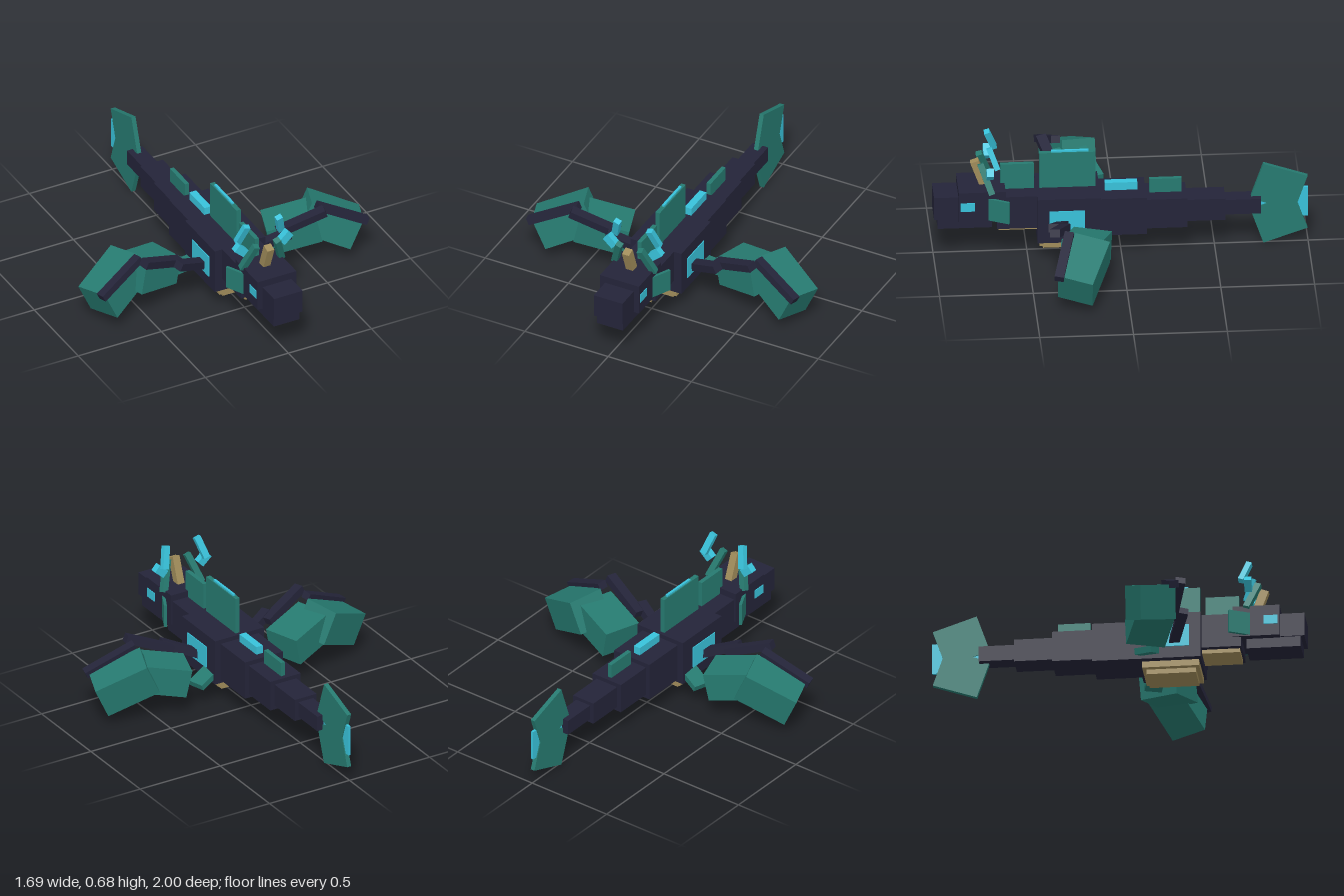
import * as THREE from 'three';

const mat = (name, color) => {
  const m = new THREE.MeshStandardMaterial({ color });
  m.name = name;
  return m;
};

export function createModel() {
  const model = new THREE.Group();
  model.name = 'horned flying creature';
  const dark = mat('dark hide', 0x242439);
  const teal = mat('teal membrane', 0x267a70);
  const cyan = mat('cyan glow', 0x38c2da);
  const tan = mat('tan bone', 0xa08c5a);

  // Box from half width and y / z ranges, centred on x
  const slab = (name, m, hx, y0, y1, z0, z1, x = 0) => {
    const mesh = new THREE.Mesh(new THREE.BoxGeometry(hx * 2, y1 - y0, z1 - z0), m);
    mesh.position.set(x, (y0 + y1) / 2, (z0 + z1) / 2);
    mesh.name = name;
    model.add(mesh);
    return mesh;
  };

  // Box turned so its x side follows u and its z side roughly follows v;
  // s = -1 mirrors it to the right side
  const turned = (name, m, s, c, u, v, size) => {
    const X = new THREE.Vector3(u[0] * s, u[1], u[2]).normalize();
    const Z = new THREE.Vector3(v[0] * s, v[1], v[2]);
    Z.addScaledVector(X, -Z.dot(X)).normalize();
    const Y = new THREE.Vector3().crossVectors(Z, X);
    const mesh = new THREE.Mesh(new THREE.BoxGeometry(...size), m);
    mesh.quaternion.setFromRotationMatrix(new THREE.Matrix4().makeBasis(X, Y, Z));
    mesh.position.set(c[0] * s, c[1], c[2]);
    mesh.name = name;
    model.add(mesh);
  };

  // Square beam between two points
  const beam = (name, m, s, a, b, t, d = t) => {
    const u = b.map((n, i) => n - a[i]);
    const c = b.map((n, i) => (n + a[i]) / 2);
    turned(name, m, s, c, u, [0, 0, 1], [Math.hypot(...u), t, d]);
  };

  // Head, trunk and tapering tail
  slab('snout', dark, 0.086, 0.245, 0.377, 0.85, 1.0);
  slab('lowerJaw', dark, 0.078, 0.187, 0.25, 0.69, 0.98);
  slab('head', dark, 0.117, 0.242, 0.417, 0.62, 0.87);
  slab('neck', dark, 0.108, 0.19, 0.38, 0.45, 0.665);
  slab('chest', dark, 0.153, 0.12, 0.38, 0.115, 0.452);
  slab('hips', dark, 0.118, 0.137, 0.355, -0.132, 0.12);
  slab('tailBase', dark, 0.095, 0.158, 0.33, -0.35, -0.13);
  slab('tailMiddle', dark, 0.068, 0.18, 0.307, -0.555, -0.35);
  slab('tailEnd', dark, 0.046, 0.2, 0.287, -0.747, -0.555);

  // Belly plates
  slab('throatPlate', tan, 0.078, 0.168, 0.195, 0.45, 0.655);
  slab('bellyPlate', tan, 0.117, 0.085, 0.122, 0.135, 0.44);
  slab('lowerBellyPlate', tan, 0.088, 0.058, 0.086, 0.155, 0.42);

  // Back fins
  slab('neckFin', teal, 0.012, 0.37, 0.527, 0.463, 0.642);
  slab('backFin', teal, 0.013, 0.37, 0.587, 0.135, 0.434);
  slab('backFinGlow', cyan, 0.007, 0.58, 0.597, 0.17, 0.37);
  slab('hipRidge', cyan, 0.02, 0.345, 0.4, -0.088, 0.085);
  slab('tailFin', teal, 0.012, 0.32, 0.41, -0.325, -0.153);

  // Forked tail fluke
  for (const s of [1, -1]) {
    const lobe = slab('tailFlukeLobe', teal, 0.0125, -0.1085, 0.1085, -0.1245, 0.1245);
    lobe.position.set(0, 0.2425 + s * 0.094, -0.8436);
    lobe.rotation.x = -0.33 * s;
  }
  slab('tailFlukeGlow', cyan, 0.007, 0.157, 0.33, -1.0, -0.74);

  // Centre horn leaning forward
  const horn = slab('centreHorn', tan, 0.021, -0.08, 0.08, -0.023, 0.023);
  horn.position.set(0, 0.476, 0.753);
  horn.rotation.x = 0.35;

  for (const s of [1, -1]) {
    // Face and side details
    slab('eye', cyan, 0.004, 0.307, 0.357, 0.785, 0.86, 0.117 * s);
    slab('sideGlow', cyan, 0.004, 0.185, 0.31, 0.2, 0.39, 0.154 * s);
    turned('cheekFin', teal, s, [0.133, 0.313, 0.662], [-0.06, 0, 0.12],
      [0.12, 0, 0.06], [0.13, 0.128, 0.016]);

    // Side horns and antlers
    beam('sideHorn', teal, s, [0.118, 0.405, 0.693], [0.062, 0.562, 0.752], 0.034);
    beam('antlerBase', cyan, s, [0.109, 0.512, 0.705], [0.161, 0.559, 0.705], 0.046, 0.038);
    beam('antlerTip', cyan, s, [0.13, 0.56, 0.665], [0.096, 0.673, 0.708], 0.036, 0.03);

    // Wing arm bones
    beam('upperWingArm', dark, s, [0.13, 0.215, 0.305], [0.335, 0.305, 0.38], 0.045, 0.055);
    beam('middleWingArm', dark, s, [0.295, 0.286, 0.315], [0.545, 0.386, 0.388], 0.043, 0.055);
    beam('outerWingArm', dark, s, [0.535, 0.376, 0.31], [0.8, 0.246, 0.383], 0.04, 0.05);

    // Thick wing panels
    turned('innerWing', teal, s, [0.434, 0.222, 0.214], [0.254, 0.058, 0.085],
      [-0.063, 0, 0.2], [0.274, 0.158, 0.21]);
    turned('outerWing', teal, s, [0.646, 0.218, 0.239], [0.254, -0.122, 0.11],
      [-0.065, 0.025, 0.18], [0.302, 0.184, 0.193]);

    // Small rear fins
    turned('rearFin', teal, s, [0.159, 0.158, 0.18], [0.9, -0.33, -0.27],
      [0.25, 0, 0.9], [0.2, 0.034, 0.094]);
  }
  return model;
}
